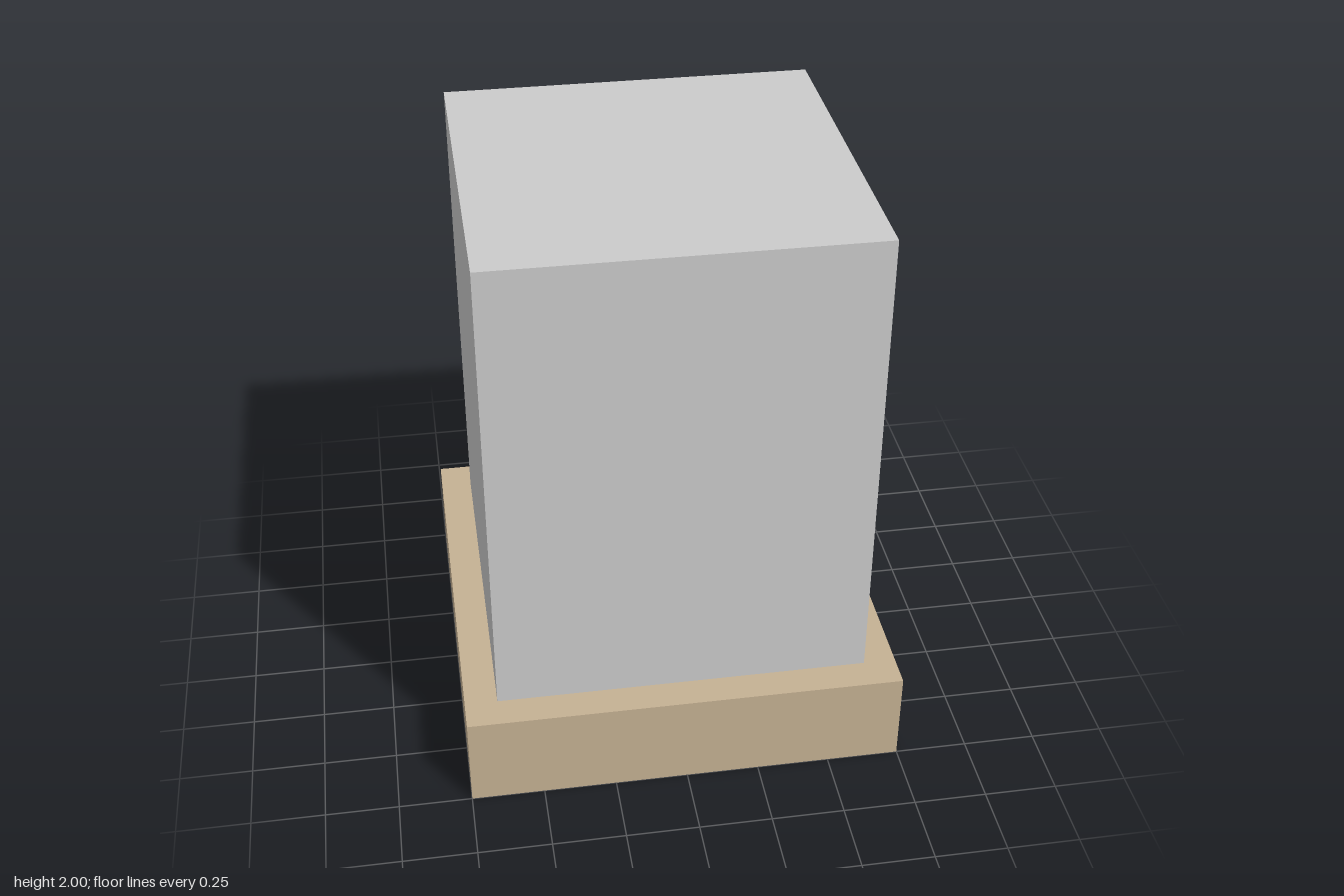
import * as THREE from 'three';

// Square block standing on y = bottom
function block(name, width, bottom, top, color) {
  const mesh = new THREE.Mesh(
    new THREE.BoxGeometry(width, top - bottom, width),
    new THREE.MeshStandardMaterial({ color })
  );
  mesh.name = name;
  mesh.position.y = (bottom + top) / 2;
  return mesh;
}

export function createModel() {
  const model = new THREE.Group();
  model.name = 'displayCase';
  const baseTop = 0.333;

  // Wide plinth
  model.add(block('base', 1.5, 0, baseTop, 0xc5b193));
  // Tall case resting on the plinth
  model.add(block('case', 1.278, baseTop, 2, 0xcccccc));

  return model;
}
